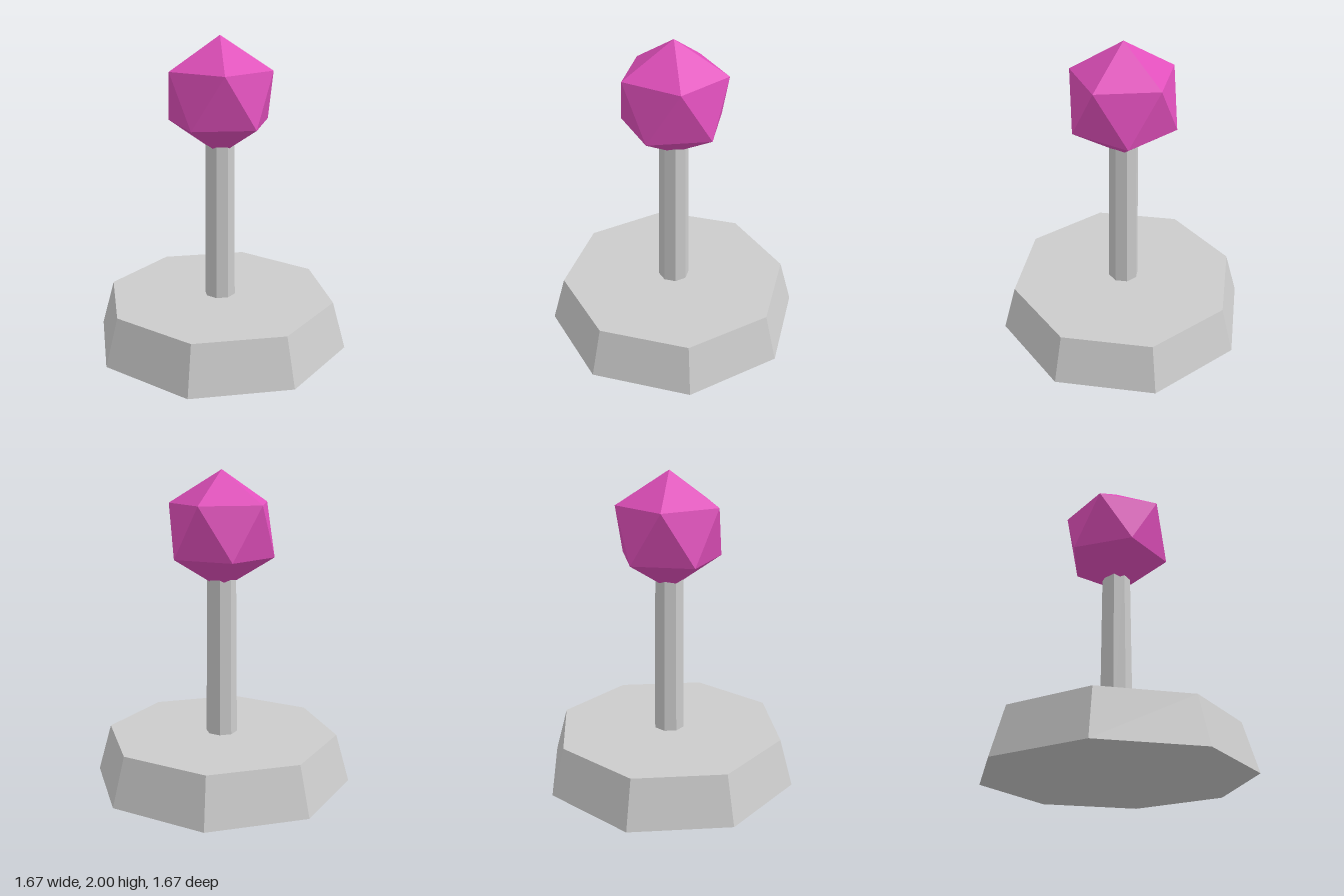
import * as THREE from 'three';

export function createModel() {
  const model = new THREE.Group();

  const grey = new THREE.MeshStandardMaterial({ color: 0xcccccc, flatShading: true });
  grey.name = 'light grey';
  const pink = new THREE.MeshStandardMaterial({ color: 0xe04fbb, flatShading: true });
  pink.name = 'magenta pink';

  const add = (name, geometry, material, y) => {
    const mesh = new THREE.Mesh(geometry, material);
    mesh.name = name;
    mesh.position.y = y;
    model.add(mesh);
  };

  // Tapered eight-sided base
  const baseHeight = 0.31;
  add('base', new THREE.CylinderGeometry(0.75, 0.837, baseHeight, 8), grey, baseHeight / 2);

  // Slim eight-sided shaft, its top sunk into the knob
  const shaftTop = 1.45;
  const shaftHeight = shaftTop - baseHeight;
  add('shaft', new THREE.CylinderGeometry(0.091, 0.101, shaftHeight, 8), grey, baseHeight + shaftHeight / 2);

  // Twenty-sided knob, turned so that one corner points straight up
  const knobRadius = 0.372;
  const golden = (1 + Math.sqrt(5)) / 2;
  const knob = new THREE.IcosahedronGeometry(knobRadius, 0).rotateZ(-Math.atan(1 / golden));
  add('knob', knob, pink, 2 - knobRadius);

  return model;
}
